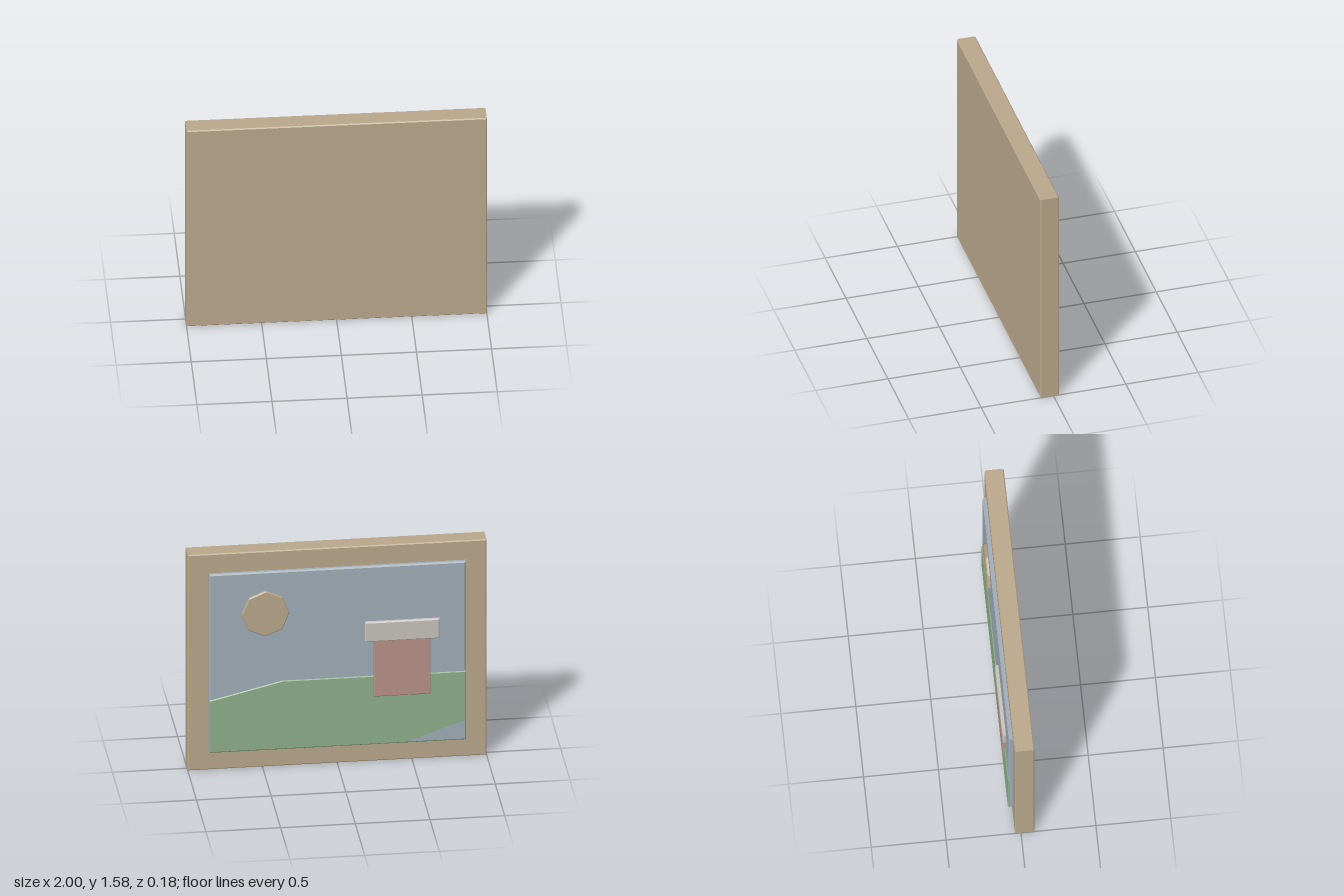
import * as THREE from 'three';

const mat = (name, color) => {
  const m = new THREE.MeshStandardMaterial({ color });
  m.name = name;
  return m;
};

export function createModel() {
  const group = new THREE.Group();
  const sand = mat('sand', 0xb8a68a);
  const skyBlue = mat('sky blue', 0x9fabb6);
  const grass = mat('grass green', 0x8dad89);
  const brick = mat('brick', 0xb79187);
  const stone = mat('pale stone', 0xc5c1bb);

  // Chamfered plate with outline pts, filling z0..z1
  function plate(name, pts, z0, z1, bevel, material) {
    const shape = new THREE.Shape(pts.map(([x, y]) => new THREE.Vector2(x, y)));
    const geo = new THREE.ExtrudeGeometry(shape, {
      depth: z1 - z0 - 2 * bevel,
      bevelEnabled: bevel > 0,
      bevelSize: bevel,
      bevelThickness: bevel,
      bevelOffset: -bevel,
      bevelSegments: 1,
    });
    geo.translate(0, 0, z0 + bevel);
    const mesh = new THREE.Mesh(geo, material);
    mesh.name = name;
    group.add(mesh);
  }
  const rect = (x0, x1, y0, y1) => [[x0, y0], [x1, y0], [x1, y1], [x0, y1]];

  // Thick backing board, picture on its -z side
  plate('frame', rect(-1, 1, 0, 1.58), -0.04, 0.09, 0.007, sand);
  plate('sky', rect(-0.86, 0.86, 0.14, 1.44), -0.067, -0.03, 0.01, skyBlue);

  // Hill, with a sliver of sky colour in its lower corner
  plate('hill', [[-0.86, 0.135], [0.86, 0.135], [0.86, 0.52], [0.37, 0.64], [-0.86, 0.64]],
    -0.073, -0.051, 0.008, grass);
  plate('cornerPatch', [[-0.852, 0.145], [-0.47, 0.145], [-0.852, 0.28]], -0.0738, -0.07, 0, skyBlue);

  // House
  plate('houseWall', rect(-0.62, -0.24, 0.49, 0.92), -0.085, -0.06, 0.006, brick);
  plate('houseRoof', rect(-0.68, -0.18, 0.895, 1.04), -0.09, -0.06, 0.008, stone);

  // Eight-sided sun
  const sun = [];
  for (let i = 0; i < 8; i++) {
    const a = (i * Math.PI) / 4;
    sun.push([0.485 + 0.16 * Math.cos(a), 1.14 + 0.165 * Math.sin(a)]);
  }
  plate('sun', sun, -0.086, -0.06, 0.006, sand);

  return group;
}
